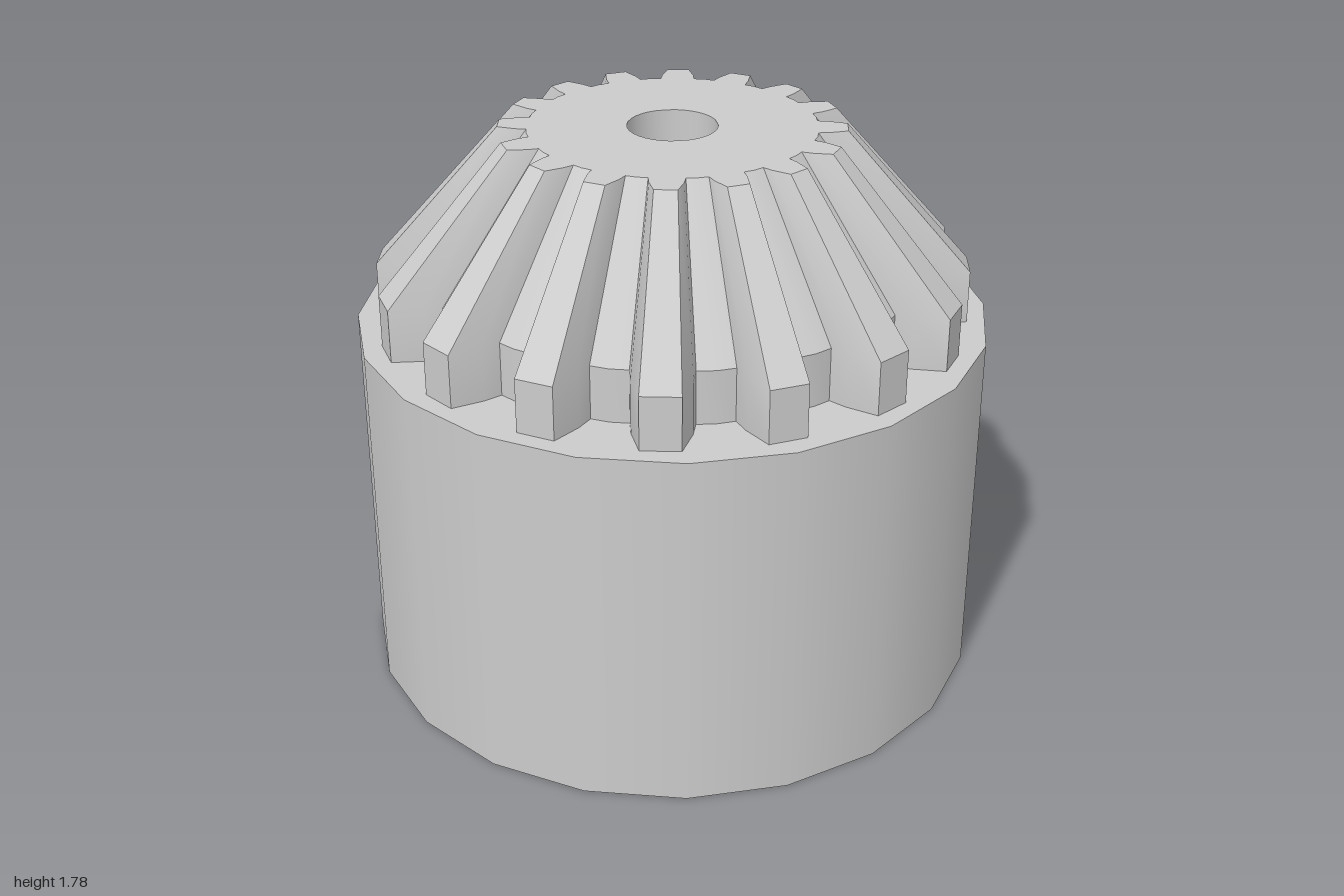
import * as THREE from 'three';
import { toCreasedNormals } from 'three/addons/utils/BufferGeometryUtils.js';

const TEETH = 16;
const BODY_TOP = 1.16, COLLAR_TOP = 1.33, TOP = 1.78;
const TOP_SCALE = 0.575;
const BORE = 0.14;

// Half of the tooth section: [radius, half width], from root to tip
const FLANK = [[0.77, 0.094], [0.83, 0.088], [0.93, 0.06]];

function gearShape() {
  const points = [];
  const add = (r, t, a) => points.push(new THREE.Vector2(
    r * Math.cos(a) - t * Math.sin(a), r * Math.sin(a) + t * Math.cos(a)));
  for (let i = 0; i < TEETH; i++) {
    const a = (i / TEETH) * Math.PI * 2;
    FLANK.forEach(([r, t]) => add(r, -t, a));
    [...FLANK].reverse().forEach(([r, t]) => add(r, t, a));
    add(0.78, 0, a + Math.PI / TEETH); // middle of the valley
  }
  const shape = new THREE.Shape(points);
  shape.holes.push(new THREE.Path().absarc(0, 0, BORE, 0, Math.PI * 2, true));
  return shape;
}

// Straight collar below, teeth narrowing towards the axis above, straight bore
function gearGeometry() {
  const depth = TOP - BODY_TOP;
  const geometry = new THREE.ExtrudeGeometry(gearShape(), {
    depth, steps: 2, bevelEnabled: false, curveSegments: 16,
  });
  const p = geometry.attributes.position;
  for (let i = 0; i < p.count; i++) {
    const z = p.getZ(i);
    if (z > depth * 0.75) {
      const outer = Math.hypot(p.getX(i), p.getY(i)) > BORE * 1.5;
      const s = outer ? TOP_SCALE : 1;
      p.setXY(i, p.getX(i) * s, p.getY(i) * s);
    } else if (z > depth * 0.25) {
      p.setZ(i, COLLAR_TOP - BODY_TOP);
    }
  }
  geometry.rotateX(-Math.PI / 2);
  return toCreasedNormals(geometry, 0.45);
}

export function createModel() {
  const group = new THREE.Group();
  group.name = 'bevelGear';
  const material = new THREE.MeshStandardMaterial({ color: 0xcccccc });

  // Round hub
  const hub = new THREE.Mesh(new THREE.CylinderGeometry(1, 1, BODY_TOP, 20), material);
  hub.name = 'hub';
  hub.position.y = BODY_TOP / 2;
  group.add(hub);

  // Tapered toothed head with a central bore
  const head = new THREE.Mesh(gearGeometry(), material);
  head.name = 'toothedHead';
  head.position.y = BODY_TOP;
  group.add(head);

  return group;
}
